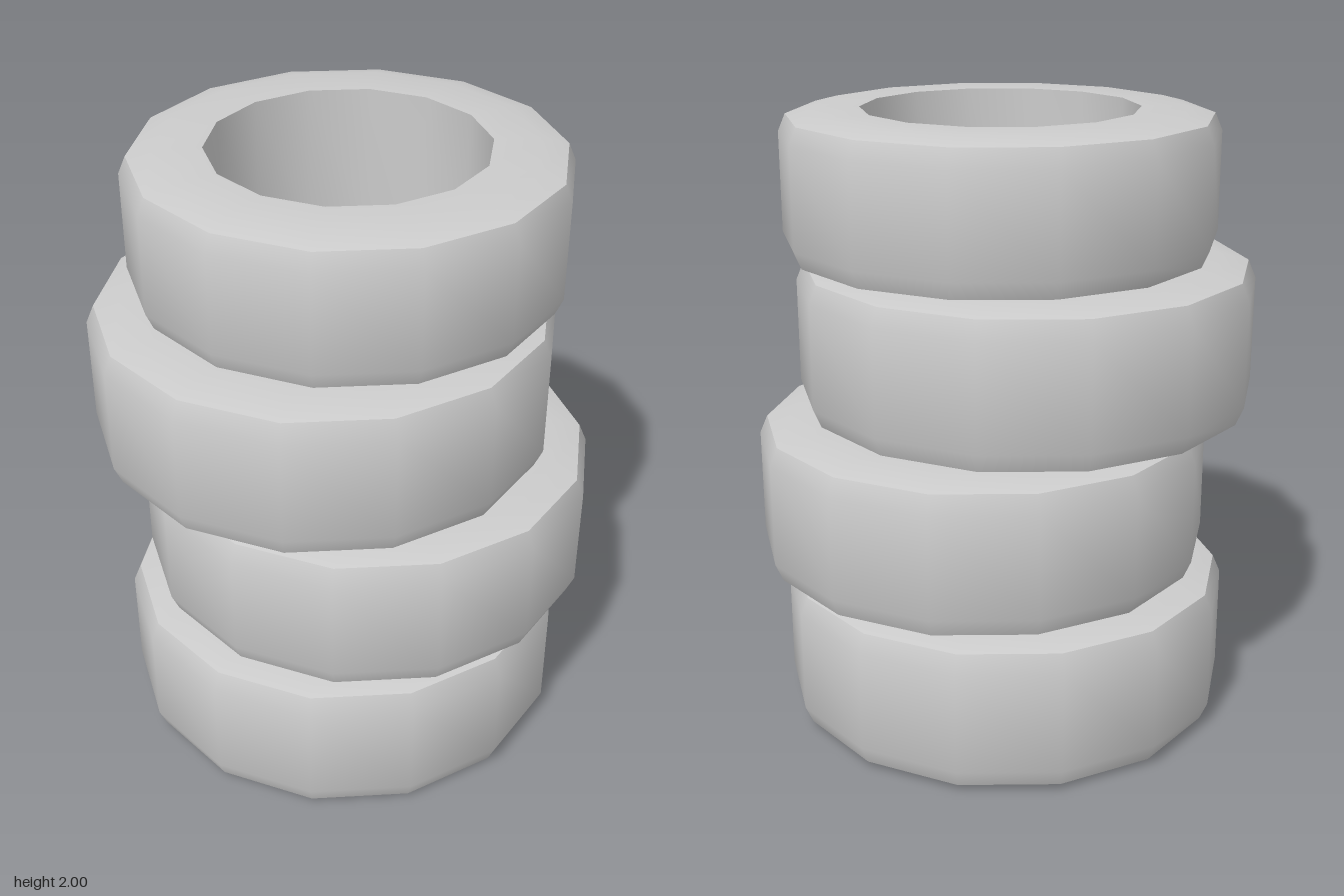
import * as THREE from 'three';
import { toCreasedNormals } from 'three/addons/utils/BufferGeometryUtils.js';

// Closed 14-sided ring: flat sidewalls, chamfered shoulders, straight tread and bore
function tyreGeometry() {
  const H = 0.495;
  const half = [[0.465, 0], [0.625, 0], [0.71, 0.022], [0.735, 0.08]];
  const upper = half.map(([r, y]) => [r, H - y]).reverse();
  const profile = [...half, ...upper, half[0]].map(([r, y]) => new THREE.Vector2(r, y));
  const lathe = new THREE.LatheGeometry(profile, 14, Math.PI / 2);
  return toCreasedNormals(lathe, 0.7);
}

export function createModel() {
  const group = new THREE.Group();
  group.name = 'tyreStack';
  const material = new THREE.MeshStandardMaterial({ color: 0xcccccc });
  const geometry = tyreGeometry();

  // Loosely stacked tyres, the top one slightly smaller
  const tyres = [
    { name: 'bottomTyre', at: [-0.005, 0, 0], scale: 1 },
    { name: 'lowerMiddleTyre', at: [0.069, 0.515, 0], scale: 1 },
    { name: 'upperMiddleTyre', at: [-0.073, 1.034, 0], scale: 1 },
    { name: 'topTyre', at: [0.01, 1.54, -0.04], scale: 0.929 },
  ];
  for (const { name, at, scale } of tyres) {
    const tyre = new THREE.Mesh(geometry, material);
    tyre.name = name;
    tyre.position.set(...at);
    tyre.scale.setScalar(scale);
    group.add(tyre);
  }
  return group;
}
